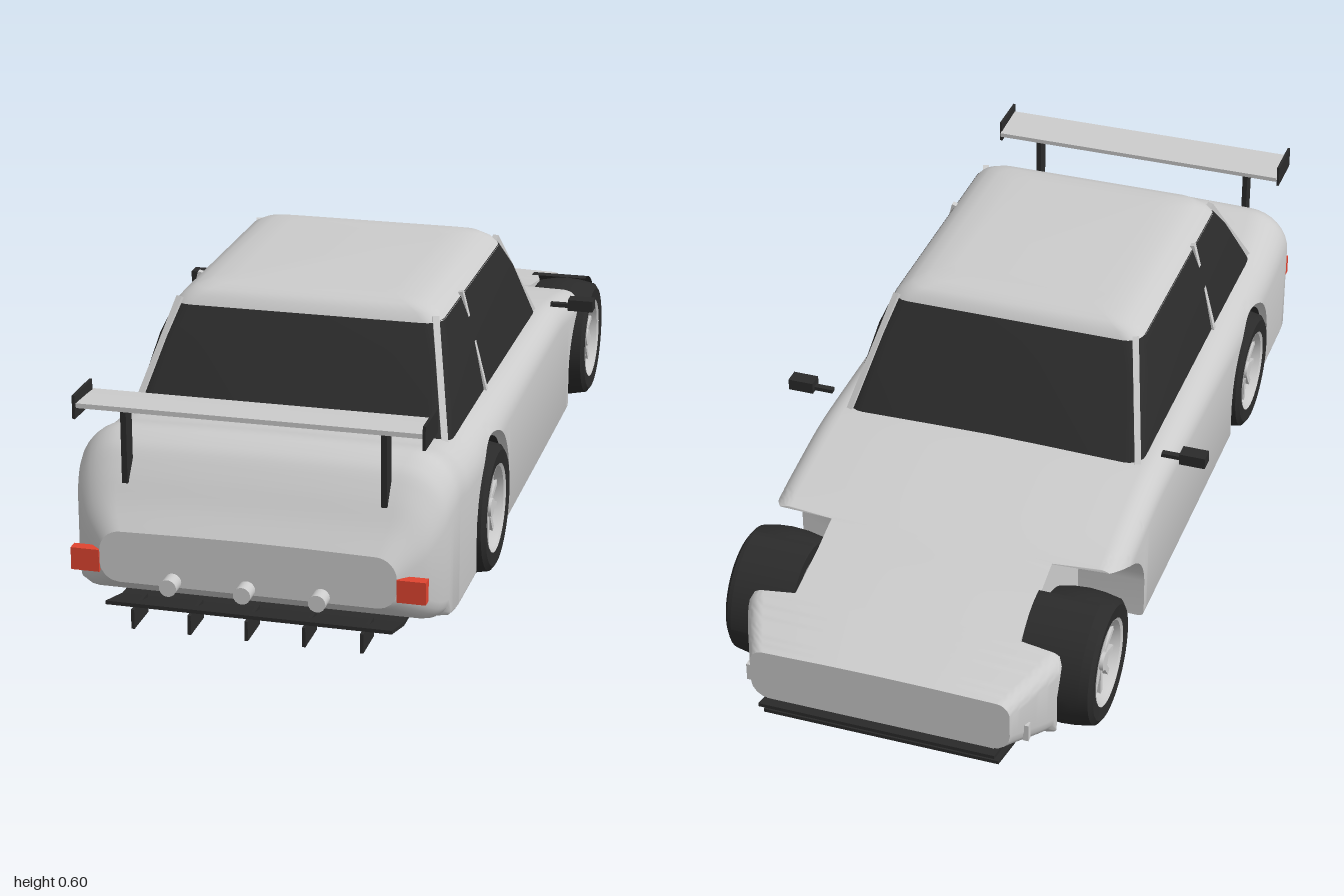
import * as THREE from 'three';
import { toCreasedNormals } from 'three/addons/utils/BufferGeometryUtils.js';

const grey = new THREE.MeshStandardMaterial({ color: 0xcccccc });
const greyDouble = new THREE.MeshStandardMaterial({ color: 0xcccccc, side: THREE.DoubleSide });
const dark = new THREE.MeshStandardMaterial({ color: 0x2b2b2b });
const darkDouble = new THREE.MeshStandardMaterial({ color: 0x2b2b2b, side: THREE.DoubleSide });
const red = new THREE.MeshStandardMaterial({ color: 0xe04430 });

function add(parent, name, geometry, material, x = 0, y = 0, z = 0) {
  const mesh = new THREE.Mesh(geometry, material);
  mesh.name = name;
  mesh.position.set(x, y, z);
  parent.add(mesh);
  return mesh;
}
const box = (w, h, d) => new THREE.BoxGeometry(w, h, d);

// Smooth monotone curve through [z, value] points
function curve(pts) {
  const slope = pts.slice(1).map((p, i) => (p[1] - pts[i][1]) / (p[0] - pts[i][0]));
  const tan = pts.map((p, i) => {
    const a = slope[i - 1] ?? slope[i], b = slope[i] ?? slope[i - 1];
    return a * b <= 0 ? 0 : (2 * a * b) / (a + b);
  });
  return (z) => {
    let i = 0;
    while (i < pts.length - 2 && z > pts[i + 1][0]) i++;
    const h = pts[i + 1][0] - pts[i][0], t = (z - pts[i][0]) / h;
    const t2 = t * t, t3 = t2 * t;
    return (2 * t3 - 3 * t2 + 1) * pts[i][1] + (t3 - 2 * t2 + t) * h * tan[i]
      + (3 * t2 - 2 * t3) * pts[i + 1][1] + (t3 - t2) * h * tan[i + 1];
  };
}

// Skin over closed loops of equal length, capped at both ends
function loft(loops, crease = 0.6) {
  const n = loops[0].length, index = [], last = (loops.length - 1) * n;
  for (let i = 0; i < loops.length - 1; i++) {
    for (let j = 0; j < n; j++) {
      const a = i * n + j, b = i * n + (j + 1) % n;
      index.push(a, b, a + n, b, b + n, a + n);
    }
  }
  for (let j = 1; j < n - 1; j++) {
    index.push(0, j + 1, j, last, last + j, last + j + 1);
  }
  const g = new THREE.BufferGeometry();
  g.setAttribute('position', new THREE.Float32BufferAttribute(loops.flat(2), 3));
  g.setIndex(index);
  return toCreasedNormals(g, crease);
}

// Wheel positions and the arch opening (half axes ahead of and behind the axle)
const axleY = 0.146, wellX = 0.25;
const arches = [
  { z: -0.69, ahead: 0.155, behind: 0.28, height: 0.16 },
  { z: 0.473, ahead: 0.165, behind: 0.165, height: 0.165 },
];
const topY = curve([[-0.975, 0.22], [-0.85, 0.243], [-0.69, 0.272], [-0.6, 0.297], [-0.45, 0.328],
  [-0.26, 0.352], [0.2, 0.355], [0.6, 0.358], [0.71, 0.37], [0.8, 0.388], [0.85, 0.37], [0.89, 0.325],
  [0.93, 0.265], [0.965, 0.22]]);
const bottomY = curve([[-0.975, 0.1], [-0.8, 0.056], [0, 0.055], [0.86, 0.056], [0.965, 0.11]]);
const halfW = curve([[-0.975, 0.285], [-0.84, 0.345], [-0.69, 0.39], [-0.6, 0.4], [0.2, 0.402],
  [0.8, 0.4], [0.86, 0.39], [0.91, 0.365], [0.965, 0.31]]);
const shoulder = curve([[-0.975, 0.03], [-0.6, 0.05], [0, 0.06], [0.6, 0.085], [0.85, 0.1], [0.965, 0.045]]);

// Body cross-section at z, with the wheel wells cut out of its lower sides
function bodySection(z) {
  const yb = bottomY(z), yt = topY(z), w = halfW(z), r = shoulder(z);
  let ya = yb;
  for (const a of arches) {
    const d = z - a.z, s = d / (d < 0 ? a.ahead : a.behind);
    if (Math.abs(s) < 1) ya = axleY + a.height * Math.sqrt(1 - s * s);
  }
  const inArch = ya > yb, open = ya >= yt - 0.002;
  ya = Math.min(ya, yt);
  const half = [[0, yb], [wellX, yb], [wellX, ya]];
  const rb = inArch ? 0 : Math.abs(z) > 0.85 ? 0.04 : 0.012;
  const a0 = Math.asin(Math.max(0, Math.min(1, (ya - yt + r) / r)));
  for (let k = 0; k <= 4; k++) {
    const a = k * Math.PI / 8, x0 = w - r + r * Math.cos(a0);
    half.push([x0 - rb + rb * Math.sin(a), ya + rb * (1 - Math.cos(a))]);
  }
  for (let k = 0; k <= 8; k++) {
    const a = a0 + (Math.PI / 2 - a0) * k / 8;
    half.push([w - r + r * Math.cos(a), yt - r + r * Math.sin(a)]);
  }
  if (open) half.forEach((p, i) => { if (i > 2) { p[0] = wellX; p[1] = yt; } });
  half.push([0.12, yt + 0.003], [0, yt + 0.004]);
  const mirrored = half.slice(1, -1).reverse().map(([x, y]) => [-x, y]);
  return [...half, ...mirrored].map(([x, y]) => [x, y, z]);
}

function bodyGeometry() {
  const rows = [];
  for (let i = 0; i <= 194; i++) rows.push(-0.975 + i * 0.01);
  for (const a of arches) {
    for (const e of [a.z - a.ahead, a.z + a.behind]) rows.push(e - 2e-4, e + 2e-4);
  }
  return loft(rows.sort((a, b) => a - b).map(bodySection));
}

// Horizontal rounded rectangle for the cabin: height, half width, front, rear, corner radius
function cabinLoop([y, hx, zf, zr, r]) {
  const mid = (zf + zr) / 2, hz = (zr - zf) / 2, pts = [];
  for (let q = 0; q < 4; q++) {
    const sx = q === 0 || q === 3 ? 1 : -1, sz = q < 2 ? -1 : 1;
    for (let k = 0; k <= 5; k++) {
      const a = (q + k / 5) * Math.PI / 2;
      pts.push([sx * (hx - r) + r * Math.cos(a), y, mid + sz * (hz - r) - r * Math.sin(a)]);
    }
  }
  return pts;
}

// Sheet bent along a [z, y] path and spanning the given half width
function sheet(path, hx, t = 0.008) {
  const outline = [...path, ...path.slice().reverse().map(([z, y]) => [z, y - t])];
  const shape = new THREE.Shape(outline.map(([z, y]) => new THREE.Vector2(-z, y)));
  const g = new THREE.ExtrudeGeometry(shape, { depth: hx * 2, bevelEnabled: false });
  return g.translate(0, 0, -hx).rotateY(Math.PI / 2);
}

// Thin square bar between two points
function bar(parent, name, a, b, w, material) {
  const from = new THREE.Vector3(...a), to = new THREE.Vector3(...b);
  const mesh = add(parent, name, box(w, w, from.distanceTo(to)), material);
  mesh.position.copy(from).lerp(to, 0.5);
  mesh.lookAt(to);
}

// Wheel with its axis on x and its outer face towards +x
function makeWheel() {
  const wheel = new THREE.Group();
  wheel.name = 'wheel';
  const lathe = (pts) => toCreasedNormals(
    new THREE.LatheGeometry(pts.map((p) => new THREE.Vector2(...p)), 40).rotateZ(-Math.PI / 2), 0.5);
  add(wheel, 'tyre', lathe([[0.094, -0.072], [0.125, -0.074], [0.136, -0.066], [0.143, -0.03], [0.145, 0],
    [0.143, 0.03], [0.136, 0.066], [0.125, 0.074], [0.094, 0.07]]), darkDouble);
  add(wheel, 'rim', lathe([[0.095, -0.07], [0.088, -0.06], [0.084, 0.05], [0.09, 0.068], [0.096, 0.072]]), greyDouble);
  add(wheel, 'brakeDisc', new THREE.CylinderGeometry(0.084, 0.084, 0.02, 32).rotateZ(Math.PI / 2), dark, 0.005);
  add(wheel, 'hub', new THREE.CylinderGeometry(0.02, 0.024, 0.05, 20).rotateZ(-Math.PI / 2), grey, 0.038);
  for (let i = 0; i < 10; i++) {
    const spoke = box(0.014, 0.074, 0.013).translate(0.048, 0.052, 0);
    add(wheel, 'spoke', spoke.rotateX(i * Math.PI / 5), grey);
  }
  return wheel;
}

export function createModel() {
  const car = new THREE.Group();
  car.name = 'car';
  add(car, 'body', bodyGeometry(), grey);

  // Cabin: dark glass under a grey roof
  add(car, 'windows', loft([[0.33, 0.35, -0.285, 0.685, 0.04], [0.5, 0.316, -0.16, 0.56, 0.04],
    [0.562, 0.292, -0.113, 0.512, 0.04]].map(cabinLoop)), dark);
  add(car, 'roof', loft([[0.56, 0.293, -0.113, 0.514, 0.04], [0.578, 0.278, -0.104, 0.504, 0.04],
    [0.591, 0.255, -0.09, 0.49, 0.04], [0.599, 0.225, -0.065, 0.465, 0.04],
    [0.602, 0.18, -0.03, 0.43, 0.04]].map(cabinLoop), 0.9), grey);

  for (const s of [1, -1]) {
    bar(car, 'frontPillar', [s * 0.337, 0.345, -0.262], [s * 0.278, 0.57, -0.1], 0.014, grey);
    bar(car, 'rearPillar', [s * 0.337, 0.345, 0.662], [s * 0.278, 0.57, 0.498], 0.014, grey);
    bar(car, 'middlePillar', [s * 0.346, 0.345, 0.313], [s * 0.289, 0.57, 0.313], 0.014, grey);

    // Wheels and arch liners
    arches.forEach(({ z }, i) => {
      const wheel = makeWheel();
      wheel.position.set(s * 0.337, axleY, z);
      if (s < 0) wheel.rotation.y = Math.PI;
      car.add(wheel);
      const start = i === 0 ? Math.PI * 0.5 : -0.3, sweep = i === 0 ? Math.PI * 0.5 : Math.PI + 0.6;
      const liner = new THREE.CylinderGeometry(0.153, 0.153, 0.135, 24, 1, true, start, sweep);
      add(car, 'archLiner', liner.rotateZ(Math.PI / 2), darkDouble, s * 0.32, axleY, z);
    });

    // Mirrors, tail lights and nose pins
    add(car, 'mirror', box(0.058, 0.026, 0.034), dark, s * 0.457, 0.38, -0.24);
    add(car, 'mirrorStalk', box(0.05, 0.009, 0.014), dark, s * 0.41, 0.375, -0.24);
    add(car, 'tailLight', box(0.06, 0.048, 0.024), red, s * 0.34, 0.153, 0.957);
    add(car, 'nosePin', box(0.012, 0.04, 0.014), grey, s * 0.306, 0.125, -0.93);

    // Wing supports
    add(car, 'wingStrut', box(0.012, 0.168, 0.036), dark, s * 0.27, 0.388, 0.893);
    add(car, 'wingEndPlate', box(0.006, 0.05, 0.106), dark, s * 0.36, 0.473, 0.898);
  }
  add(car, 'wingBlade', sheet([[0.835, 0.474], [0.87, 0.477], [0.945, 0.48]], 0.358, 0.01), grey);

  // Exhausts
  for (const x of [-0.155, 0, 0.155]) {
    add(car, 'exhaust', new THREE.CylinderGeometry(0.018, 0.018, 0.06, 24).rotateX(Math.PI / 2), grey, x, 0.122, 0.97);
  }

  // Rear diffuser with fins
  add(car, 'diffuser', sheet([[0.68, 0.036], [0.86, 0.038], [0.965, 0.065]], 0.3), dark);
  for (let i = -2; i <= 2; i++) {
    add(car, 'diffuserFin', box(0.007, 0.042, 0.088), dark, i * 0.12, 0.033, 0.928);
  }

  // Front splitter in two layers, with the undertray behind it
  add(car, 'splitter', sheet([[-1, 0.103], [-0.94, 0.088], [-0.86, 0.062], [-0.78, 0.05]], 0.26), dark);
  add(car, 'lowerSplitter', sheet([[-0.975, 0.068], [-0.87, 0.038], [-0.72, 0.034]], 0.26), dark);
  add(car, 'undertray', box(0.5, 0.012, 0.28), dark, 0, 0.049, -0.69);
  return car;
}
